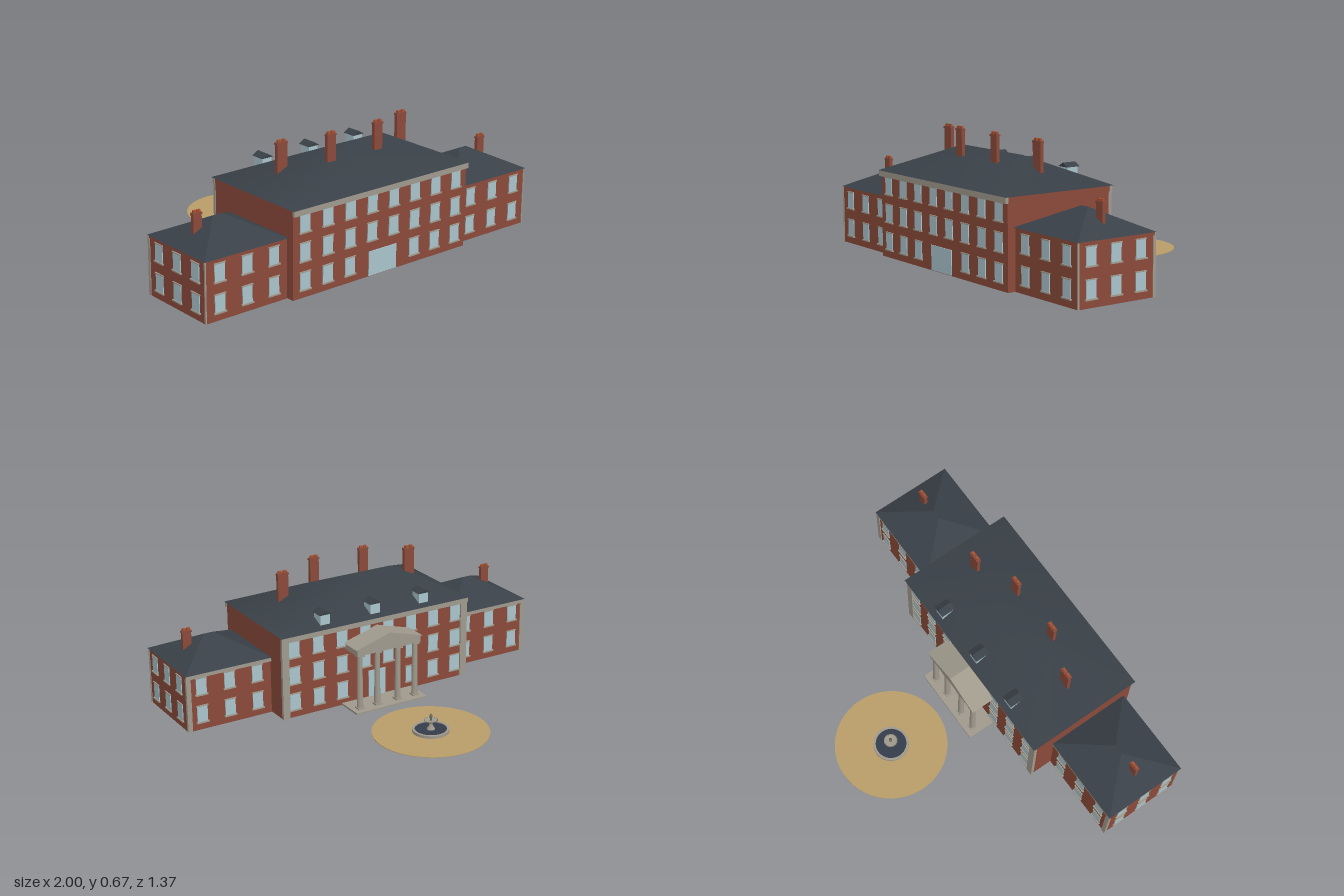
import * as THREE from 'three';

const mat = (name, color) => {
  const m = new THREE.MeshStandardMaterial({ color });
  m.name = name;
  return m;
};

export function createModel() {
  const root = new THREE.Group();
  root.name = 'countryHouse';
  const brick = mat('brick', 0x8a4a3a);
  const slate = mat('slate', 0x394047);
  const stone = mat('stone', 0xa09a8d);
  const glass = mat('glass', 0xa9c4cc);
  const gravel = mat('gravel', 0xb89d68);
  const water = mat('water', 0x343c4a);
  const terracotta = mat('terracotta', 0xa8502f);
  const bronze = mat('bronze', 0x6a6f5e);

  const add = (name, geo, material, parent = root) => {
    const m = new THREE.Mesh(geo, material);
    m.name = name;
    parent.add(m);
    return m;
  };
  // Box given by its limits on each axis
  const box = (name, material, x0, x1, y0, y1, z0, z1, parent) => {
    const g = new THREE.BoxGeometry(x1 - x0, y1 - y0, z1 - z0);
    g.translate((x0 + x1) / 2, (y0 + y1) / 2, (z0 + z1) / 2);
    return add(name, g, material, parent);
  };

  // Hipped roof: ridge runs along x, smooth keeps shared normals
  const hipRoof = (name, cx, cz, hx, hz, y0, y1, ridge, smooth) => {
    const eave = [[-hx, hz], [hx, hz], [hx, -hz], [-hx, -hz]].flatMap(([x, z]) => [cx + x, y0, cz + z]);
    let g = new THREE.BufferGeometry();
    g.setAttribute('position', new THREE.Float32BufferAttribute(
      [...eave, cx - ridge, y1, cz, cx + ridge, y1, cz, ...eave], 3));
    g.setIndex([0, 1, 5, 0, 5, 4, 1, 2, 5, 2, 3, 4, 2, 4, 5, 3, 0, 4, 6, 9, 8, 6, 8, 7]);
    if (!smooth) g = g.toNonIndexed();
    g.computeVertexNormals();
    return add(name, g, slate);
  };

  // Gable prism: ridge runs along z
  const gable = (name, material, cx, hw, y0, y1, z0, z1) => {
    const s = new THREE.Shape([new THREE.Vector2(-hw, y0), new THREE.Vector2(hw, y0), new THREE.Vector2(0, y1)]);
    const g = new THREE.ExtrudeGeometry(s, { depth: z1 - z0, bevelEnabled: false });
    g.translate(cx, 0, z0);
    return add(name, g, material);
  };

  // Sash window with sill and lintel, facing the direction turn
  const sashWindow = (x, z, y0, y1, turn, w = 0.058) => {
    const g = new THREE.Group();
    g.name = 'window';
    box('pane', glass, -w / 2, w / 2, y0, y1, -0.002, 0.004, g);
    box('sill', stone, -w / 2 - 0.006, w / 2 + 0.006, y0 - 0.007, y0, -0.002, 0.009, g);
    box('lintel', stone, -w / 2 - 0.004, w / 2 + 0.004, y1, y1 + 0.005, -0.002, 0.006, g);
    g.position.set(x, 0, z);
    g.rotation.y = turn;
    root.add(g);
  };

  // Chimney stack with corbel and two pots
  const chimney = (x, z, w, y0, y1) => {
    box('chimneyStack', brick, x - w / 2, x + w / 2, y0, y1, z - 0.009, z + 0.009);
    box('chimneyCap', brick, x - w / 2 - 0.003, x + w / 2 + 0.003, y1 - 0.012, y1 - 0.004, z - 0.011, z + 0.011);
    for (const s of [-1, 1]) {
      const px = x + s * w * 0.24;
      box('chimneyPot', terracotta, px - 0.008, px + 0.008, y1, y1 + 0.01, z - 0.006, z + 0.006);
    }
  };

  // Main block
  box('mainWalls', brick, -0.537, 0.537, 0, 0.43, 0.093, 0.67);
  box('frontCornice', stone, -0.54, 0.54, 0.402, 0.43, 0.668, 0.684);
  box('backCornice', stone, -0.54, 0.54, 0.402, 0.43, 0.08, 0.095);
  hipRoof('mainRoof', 0, 0.38, 0.545, 0.305, 0.43, 0.565, 0.25, true);
  const rows = [[0.042, 0.123], [0.18, 0.263], [0.318, 0.398]];
  rows.forEach(([y0, y1], row) => {
    for (let i = 0; i < 8; i++) {
      if (row === 0 && (i === 3 || i === 4)) continue;
      const x = (i - 3.5) * 0.134;
      sashWindow(x, 0.67, y0, y1, 0);
      sashWindow(x, 0.093, y0, y1, Math.PI);
    }
  });
  box('gardenDoor', glass, -0.086, 0.086, 0.003, 0.124, 0.667, 0.674);
  box('entranceDoor', glass, -0.05, 0.05, 0.01, 0.15, 0.089, 0.096);

  for (const s of [-1, 1]) {
    // Corner pilasters of the main block
    const px = s * 0.52;
    box('cornerPilaster', stone, px - 0.019, px + 0.019, 0, 0.402, 0.084, 0.1);

    // Wings
    const c = s * 0.765;
    box('wingWalls', brick, c - 0.226, c + 0.226, 0, 0.29, 0.207, 0.63);
    hipRoof('wingRoof', c, 0.419, 0.233, 0.218, 0.291, 0.397, 0.024, false);
    box('wingCornice', stone, c - 0.229, c + 0.229, 0.272, 0.291, 0.202, 0.21);
    const qx = s * 0.982;
    box('wingPilaster', stone, qx - 0.012, qx + 0.012, 0, 0.275, 0.202, 0.217);
    box('wingCornerStrip', stone, s * 0.991 - 0.003, s * 0.991 + 0.003, 0, 0.288, 0.625, 0.633);
    for (const [y0, y1] of [[0.042, 0.123], [0.186, 0.267]]) {
      for (const k of [-1, 0, 1]) {
        sashWindow(c + k * 0.15, 0.63, y0, y1, 0, 0.055);
        sashWindow(c + k * 0.15, 0.207, y0, y1, Math.PI, 0.055);
        sashWindow(s * 0.991, 0.424 + k * 0.137, y0, y1, s * Math.PI / 2, 0.055);
      }
    }

    // Chimneys
    chimney(s * 0.37, 0.38, 0.058, 0.48, 0.645);
    chimney(s * 0.145, 0.463, 0.05, 0.5, 0.66);
    chimney(s * 0.882, 0.422, 0.046, 0.3, 0.435);
  }

  // Dormers
  for (const x of [-0.286, 0, 0.286]) {
    box('dormerBody', glass, x - 0.027, x + 0.027, 0.44, 0.497, 0.106, 0.168);
    gable('dormerRoof', slate, x, 0.034, 0.496, 0.516, 0.1, 0.174);
  }

  // Portico
  box('porticoStep', stone, -0.205, 0.205, 0, 0.01, -0.054, 0.095);
  box('entablature', stone, -0.183, 0.183, 0.297, 0.332, -0.026, 0.095);
  gable('pediment', stone, 0, 0.192, 0.332, 0.388, -0.032, 0.095);
  for (const x of [-0.16, -0.06, 0.06, 0.16]) {
    const shaft = new THREE.CylinderGeometry(0.013, 0.016, 0.276, 16);
    add('column', shaft, stone).position.set(x, 0.154, -0.008);
    box('columnBase', stone, x - 0.018, x + 0.018, 0.01, 0.018, -0.026, 0.01);
    box('columnCapital', stone, x - 0.018, x + 0.018, 0.288, 0.298, -0.026, 0.01);
  }

  // Forecourt and fountain
  const court = new THREE.Group();
  court.name = 'forecourt';
  court.position.z = -0.4;
  root.add(court);
  const turned = (name, pts, material, sides = 32) =>
    add(name, new THREE.LatheGeometry(pts.map(([r, y]) => new THREE.Vector2(r, y)), sides), material, court);
  add('gravelCircle', new THREE.CylinderGeometry(0.286, 0.286, 0.003, 64), gravel, court).position.y = 0.0025;
  const rim = turned('basinRim', [[0.09, 0], [0.09, 0.018], [0.078, 0.018], [0.078, 0.006]], stone, 40);
  rim.geometry = rim.geometry.toNonIndexed();
  rim.geometry.computeVertexNormals();
  add('basinWater', new THREE.CylinderGeometry(0.08, 0.08, 0.013, 40), water, court).position.y = 0.0075;
  const base = new THREE.CircleGeometry(0.088, 40).rotateX(Math.PI / 2);
  add('basinBase', base, stone, court);
  turned('pedestal', [[0.02, 0.013], [0.018, 0.022], [0.01, 0.032], [0.008, 0.046], [0.012, 0.054]], stone);
  turned('bowl', [[0.008, 0.05], [0.024, 0.055], [0.035, 0.063], [0.03, 0.063], [0, 0.059]], stone);
  turned('finial', [[0.006, 0.058], [0.004, 0.07], [0.008, 0.078], [0.007, 0.086], [0, 0.098]], bronze, 16);

  return root;
}
